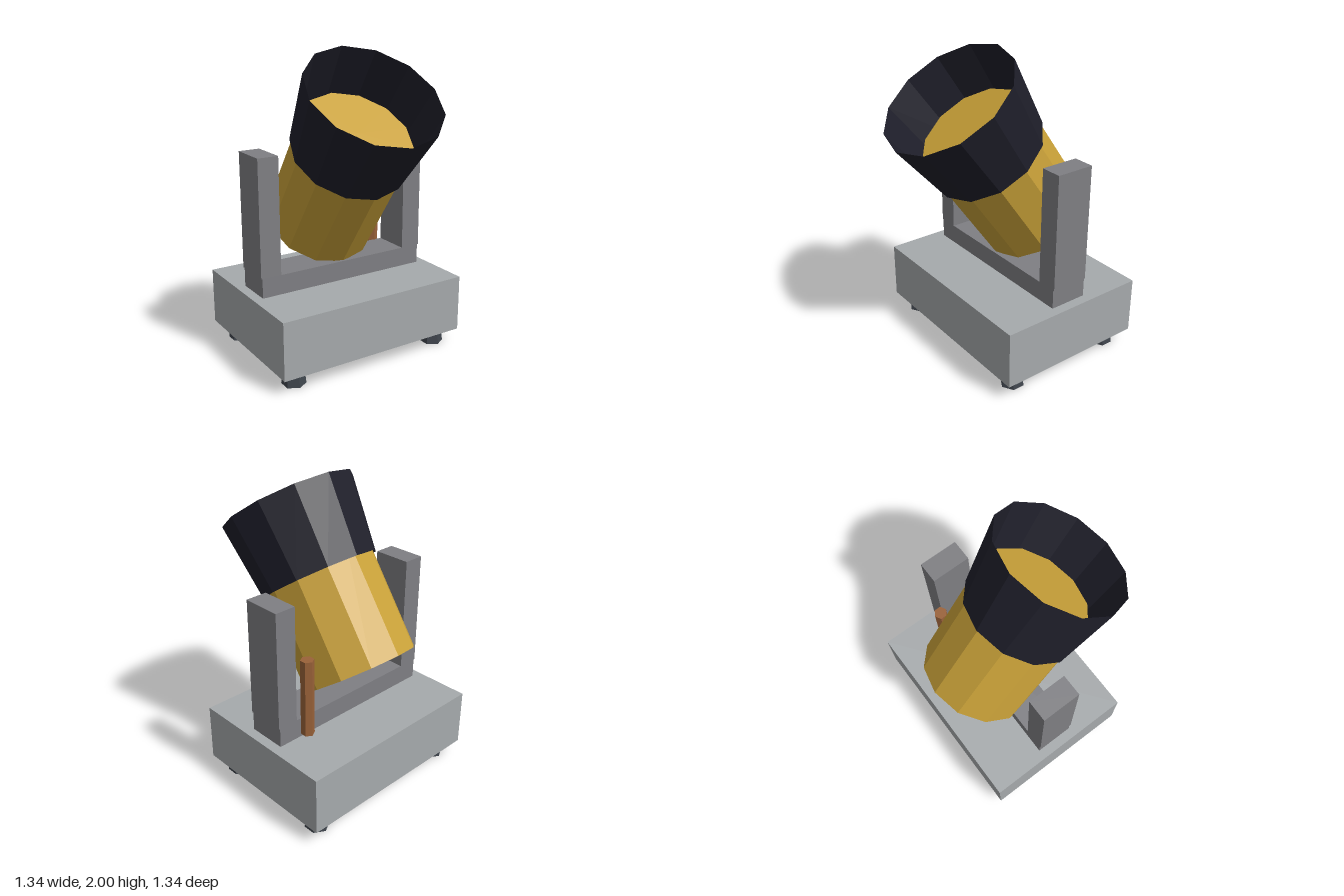
import * as THREE from 'three';

export function createModel() {
  const mat = (name, color, opts = {}) => {
    const m = new THREE.MeshStandardMaterial({ color, flatShading: true, ...opts });
    m.name = name;
    return m;
  };
  const stone = mat('pale grey', 0xa6aaac);
  const steel = mat('mid grey', 0x7f7f83);
  const brass = mat('brass', 0xc8a038);
  const black = mat('blue black', 0x1e1e29, { side: THREE.DoubleSide });
  const copper = mat('copper', 0x9a6239);
  const rubber = mat('dark slate', 0x40464e);

  const model = new THREE.Group();
  model.name = 'tiltingBarrel';
  const add = (name, geometry, material, x, y, z, parent = model) => {
    const mesh = new THREE.Mesh(geometry, material);
    mesh.name = name;
    mesh.position.set(x, y, z);
    parent.add(mesh);
    return mesh;
  };

  // Base slab on four tapered hexagonal feet
  add('base', new THREE.BoxGeometry(1.34, 0.38, 1.024), stone, 0, 0.29, -0.163);
  const footGeometry = new THREE.CylinderGeometry(0.066, 0.078, 0.1, 6);
  for (const x of [-0.542, 0.542]) {
    for (const z of [0.226, -0.542]) add('foot', footGeometry, rubber, x, 0.05, z);
  }

  // Yoke: cross bar and two upright arms
  add('yokeBar', new THREE.BoxGeometry(1.21, 0.13, 0.255), steel, 0, 0.545, -0.163);
  const armGeometry = new THREE.BoxGeometry(0.14, 0.765, 0.255);
  for (const side of [-1, 1]) {
    add(side > 0 ? 'leftArm' : 'rightArm', armGeometry, steel, side * 0.543, 0.9925, -0.163);
  }

  // Upright rod behind the left arm
  add('rod', new THREE.CylinderGeometry(0.043, 0.043, 0.515, 6), copper, 0.415, 0.7675, -0.325);

  // Barrel tilted forward, with its origin at the centre of the lower end
  const barrel = new THREE.Group();
  barrel.name = 'barrel';
  barrel.position.set(0, 0.815, -0.36);
  barrel.rotation.x = THREE.MathUtils.degToRad(35.3);
  model.add(barrel);
  add('tube', new THREE.CylinderGeometry(0.37, 0.37, 0.825, 12), brass, 0, 0.4125, 0, barrel);
  // Open flared hood around the upper end
  add('hood', new THREE.CylinderGeometry(0.445, 0.385, 0.505, 12, 1, true), black, 0, 0.8885, 0, barrel);

  return model;
}
